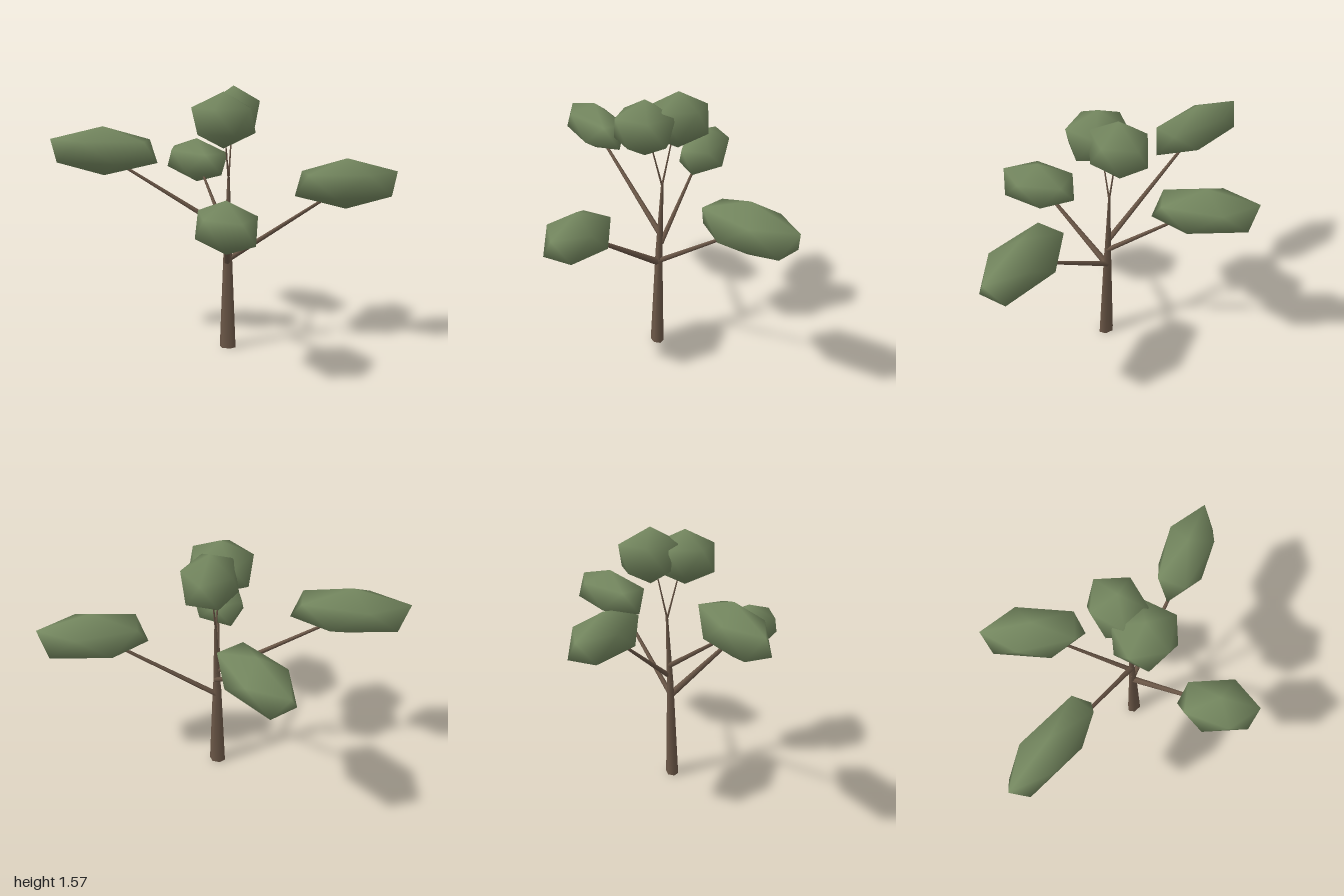
import * as THREE from 'three';
import { mergeVertices } from 'three/addons/utils/BufferGeometryUtils.js';

const bark = new THREE.MeshStandardMaterial({ color: 0x6b5747 });
const leaf = new THREE.MeshStandardMaterial({ color: 0x74875f });

// Smooth-shaded icosahedron with its poles on y and an upper ring corner at +z
function clumpGeometry(width, height, length) {
  const base = new THREE.IcosahedronGeometry(1, 0);
  base.deleteAttribute('uv');
  base.deleteAttribute('normal');
  const geo = mergeVertices(base, 1e-3);
  geo.rotateX(-Math.atan2((1 + Math.sqrt(5)) / 2, 1));
  geo.scale(width, height, length);
  geo.computeVertexNormals();
  return geo;
}

// Tapered six-sided limb between two points
function limb(name, from, to, r0, r1, depth = 1) {
  const a = new THREE.Vector3(...from), b = new THREE.Vector3(...to);
  const dir = b.clone().sub(a);
  const geo = new THREE.CylinderGeometry(r1, r0, dir.length(), 6);
  geo.rotateY(Math.PI / 6 * 3);
  geo.scale(1, 1, depth);
  const mesh = new THREE.Mesh(geo, bark);
  mesh.name = name;
  mesh.position.copy(a).add(b).multiplyScalar(0.5);
  mesh.quaternion.setFromUnitVectors(new THREE.Vector3(0, 1, 0), dir.normalize());
  return mesh;
}

export function createModel() {
  const tree = new THREE.Group();
  tree.name = 'tree';

  // Trunk in two tapering sections
  tree.add(limb('lowerTrunk', [0.05, 0, -0.034], [0.045, 0.62, -0.045], 0.05, 0.025, 0.75));
  tree.add(limb('upperTrunk', [0.045, 0.6, -0.045], [0.044, 1.04, -0.064], 0.024, 0.008, 0.85));

  // Branches and top twigs
  const branches = [
    ['leftBranch', [0.04, 0.54, -0.045], [0.7, 0.99, -0.25], 0.016, 0.007],
    ['rightBranch', [0.05, 0.72, -0.05], [-0.62, 1.13, 0.08], 0.017, 0.008],
    ['backBranch', [0.05, 0.66, -0.055], [-0.27, 1.05, -0.45], 0.015, 0.006],
    ['frontBranch', [0.045, 0.535, -0.04], [0.19, 0.86, 0.47], 0.021, 0.009],
    ['frontTwig', [0.044, 1.02, -0.062], [0.044, 1.36, 0.03], 0.006, 0.003],
    ['backTwig', [0.044, 1.02, -0.062], [0.044, 1.38, -0.14], 0.006, 0.003],
  ];
  for (const b of branches) tree.add(limb(...b));

  // Foliage: name, centre, half sizes (width, height, length), outward direction in x and z
  const clumps = [
    ['leftFoliage', [0.705, 1.0, -0.27], [0.16, 0.15, 0.345], [0.91, -0.41]],
    ['rightFoliage', [-0.68, 1.185, 0.094], [0.14, 0.145, 0.365], [-0.99, 0.14]],
    ['backFoliage', [-0.298, 1.07, -0.492], [0.16, 0.14, 0.325], [-0.77, -0.64]],
    ['frontFoliage', [0.197, 0.865, 0.497], [0.175, 0.145, 0.26], [0.6, 0.8]],
    ['topFrontFoliage', [0.045, 1.38, 0.045], [0.205, 0.16, 0.195], [0, 1]],
    ['topBackFoliage', [0.045, 1.402, -0.157], [0.17, 0.163, 0.203], [0, -1]],
  ];
  for (const [name, centre, size, [dx, dz]] of clumps) {
    const mesh = new THREE.Mesh(clumpGeometry(...size), leaf);
    mesh.name = name;
    mesh.position.set(...centre);
    mesh.rotation.y = Math.atan2(dx, dz);
    tree.add(mesh);
  }
  return tree;
}
